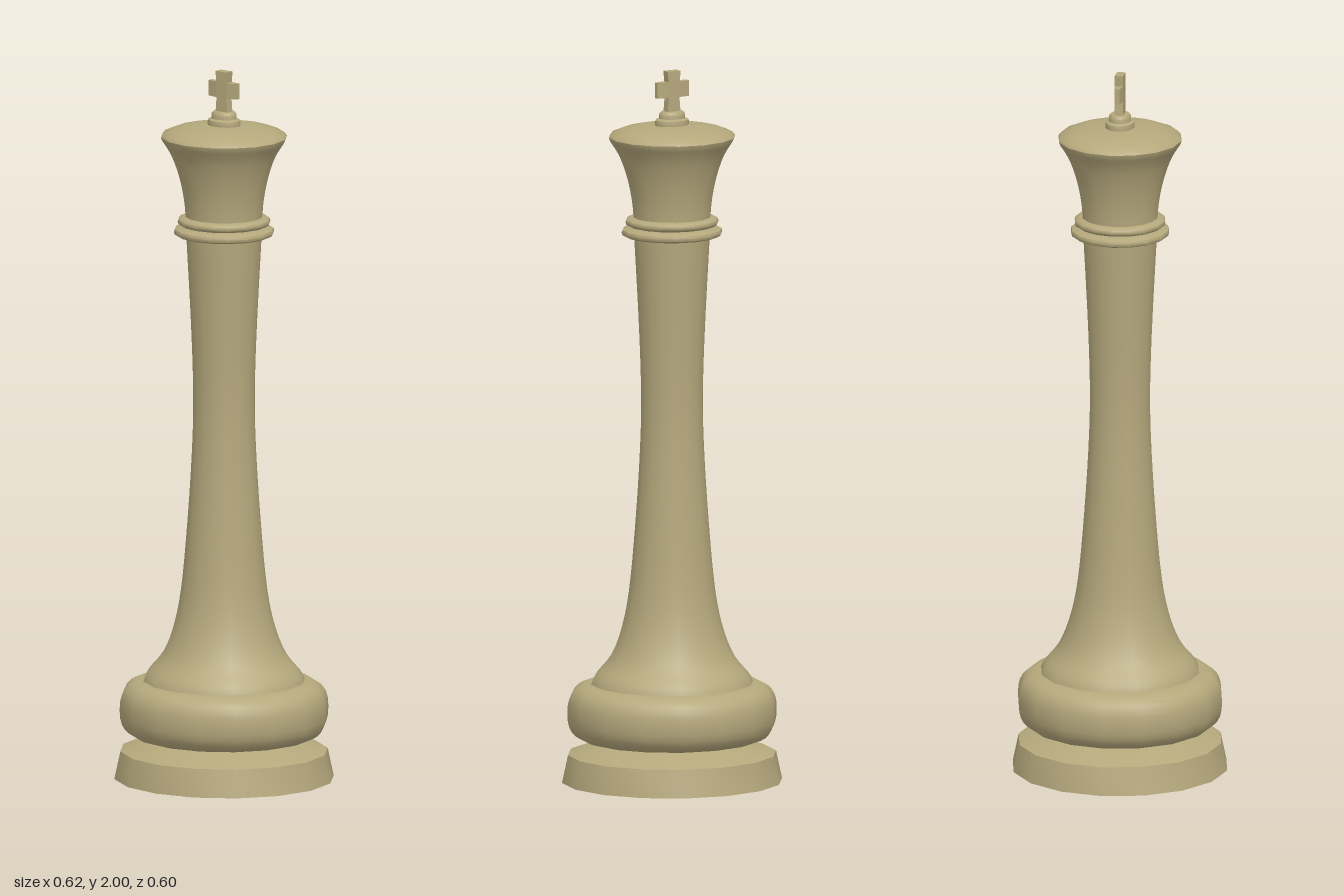
import * as THREE from 'three';
import { toCreasedNormals } from 'three/addons/utils/BufferGeometryUtils.js';

const SIDES = 16;
const DEPTH = 0.975; // turned parts are slightly narrower front to back
const material = new THREE.MeshStandardMaterial({ color: 0xb5a87c });

const toPoints = (pairs) => pairs.map(([r, y]) => new THREE.Vector2(r, y));
const smooth = (pairs, n) => new THREE.SplineCurve(toPoints(pairs)).getPoints(n);

// Outward bulge from bottom to top, with a flat or round nose
function bulge(inner, outer, y0, y1, n, power = 1) {
  const points = [];
  for (let i = 0; i <= n; i++) {
    const a = -Math.PI / 2 + (Math.PI * i) / n;
    const c = Math.pow(Math.max(0, Math.cos(a)), power);
    const s = Math.sign(Math.sin(a)) * Math.pow(Math.abs(Math.sin(a)), power);
    points.push(new THREE.Vector2(inner + (outer - inner) * c, (y0 + y1) / 2 + ((y1 - y0) / 2) * s));
  }
  return points;
}

export function createModel() {
  const model = new THREE.Group();
  model.name = 'chessKing';

  function add(name, geometry) {
    const mesh = new THREE.Mesh(geometry, material);
    mesh.name = name;
    model.add(mesh);
    return mesh;
  }
  function turn(name, points, depth = DEPTH) {
    const geometry = toCreasedNormals(new THREE.LatheGeometry(points, SIDES), 0.7);
    add(name, geometry).scale.z = depth;
  }

  // Plinth with bevelled top
  turn('plinth', toPoints([[0, 0], [0.31, 0], [0.293, 0.078], [0.185, 0.116], [0, 0.116]]));

  // Fat cushion above the plinth
  turn('baseCushion', [
    new THREE.Vector2(0.12, 0.116),
    ...bulge(0.22, 0.295, 0.116, 0.276, 14, 0.8),
    new THREE.Vector2(0.12, 0.276),
  ]);

  // Flared foot and slender waist
  turn('column', smooth([
    [0.23, 0.27], [0.217, 0.298], [0.175, 0.35], [0.143, 0.43], [0.121, 0.54],
    [0.104, 0.72], [0.091, 0.92], [0.087, 1.08], [0.093, 1.28], [0.108, 1.56],
  ], 32));

  // Two collar rings
  turn('lowerCollar', bulge(0.095, 0.142, 1.532, 1.562, 8, 0.75));
  turn('upperCollar', bulge(0.095, 0.131, 1.562, 1.59, 8, 0.75));

  // Flaring head with a shallow domed top
  turn('head', [
    ...smooth([[0.107, 1.56], [0.112, 1.63], [0.126, 1.7], [0.148, 1.762], [0.175, 1.806]], 14),
    ...toPoints([[0.178, 1.815], [0.171, 1.824], [0.14, 1.836], [0.09, 1.846], [0, 1.85]]),
  ]);

  // Stepped oval button
  turn('finialBase', bulge(0.025, 0.05, 1.838, 1.868, 6, 0.6), 0.82);
  turn('finialCap', toPoints([[0.038, 1.862], [0.038, 1.879], [0.032, 1.886], [0, 1.888]]), 0.82);

  // Cross, thinning towards its arm tips
  const half = [[0.021, 1.88], [0.017, 1.926], [0.05, 1.926], [0.05, 1.97], [0.018, 1.97], [0.021, 2]];
  const outline = [...half, ...half.map(([x, y]) => [-x, y]).reverse()];
  const cross = new THREE.ExtrudeGeometry(new THREE.Shape(toPoints(outline)), { depth: 0.024, bevelEnabled: false });
  cross.translate(0, 0, -0.012);
  const p = cross.attributes.position;
  for (let i = 0; i < p.count; i++) {
    const t = Math.max(0, Math.abs(p.getX(i)) - 0.02) / 0.03;
    p.setZ(i, p.getZ(i) * (1 - 0.45 * t));
  }
  cross.computeVertexNormals();
  add('cross', cross);

  return model;
}
